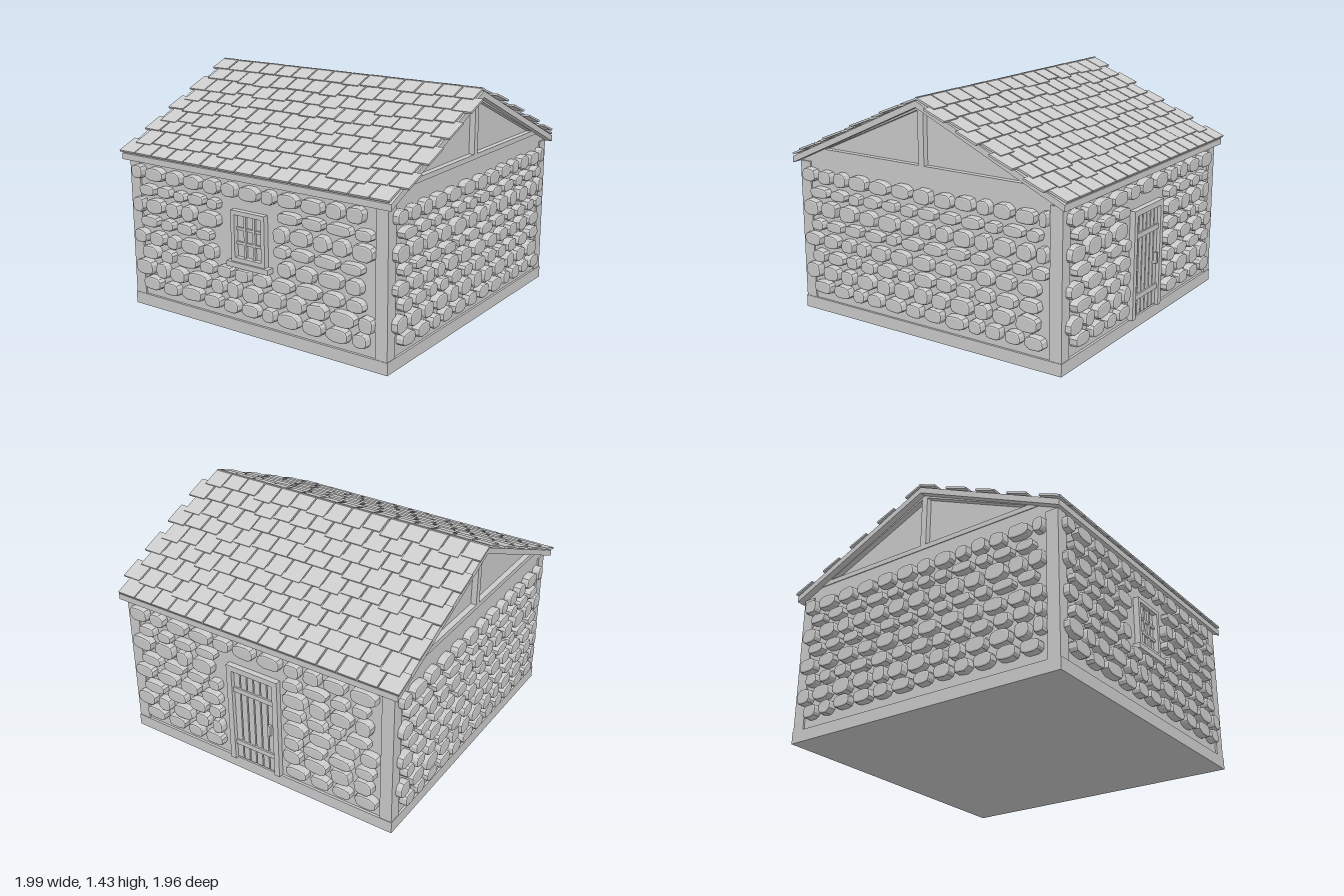
import * as THREE from 'three';
import { mergeGeometries } from 'three/addons/utils/BufferGeometryUtils.js';

const material = new THREE.MeshStandardMaterial({ color: 0xcccccc });
const WALL = 0.925; // half width of the square wall block
const BASE = 0.075; // plinth height
const PITCH = 0.454; // roof rise per unit of run

let seed = 7;
function rand(min, max) {
  seed = (seed * 16807) % 2147483647;
  return min + (max - min) * (seed / 2147483647);
}

function add(parent, name, geometry) {
  const mesh = new THREE.Mesh(geometry, material);
  mesh.name = name;
  parent.add(mesh);
  return mesh;
}

// Box given by its limits on each axis
function box(parent, name, x0, x1, y0, y1, z0, z1) {
  const g = new THREE.BoxGeometry(x1 - x0, y1 - y0, z1 - z0);
  g.translate((x0 + x1) / 2, (y0 + y1) / 2, (z0 + z1) / 2);
  return add(parent, name, g);
}

const toShape = (pts) => new THREE.Shape(pts.map((p) => new THREE.Vector2(...p)));

// Extrude a (z, y) profile along x between x0 and x1
function alongX(shape, x0, x1) {
  const g = new THREE.ExtrudeGeometry(shape, { depth: x1 - x0, bevelEnabled: false });
  g.translate(0, 0, -x1);
  g.rotateY(-Math.PI / 2);
  return g;
}

// One rounded, slightly irregular facing stone
function stone(u, y, w, h) {
  const pts = [];
  const n = 12;
  for (let i = 0; i < n; i++) {
    const a = ((i + 0.5) / n) * Math.PI * 2;
    const c = Math.cos(a), s = Math.sin(a);
    const r = rand(0.92, 1.02);
    pts.push([Math.sign(c) * Math.abs(c) ** 0.72 * r * w / 2, Math.sign(s) * Math.abs(s) ** 0.72 * r * h / 2]);
  }
  const g = new THREE.ExtrudeGeometry(toShape(pts), {
    depth: 0.04, bevelThickness: 0.01, bevelSize: 0.01, bevelOffset: -0.01, bevelSegments: 2,
  });
  return g.translate(u, y, WALL - 0.002);
}

// Courses of stones on one wall, leaving a gap [g0, g1] in the courses from 1 to gapRows
function stoneFacing(parent, name, angle, maxWidth, gapRows = 0, g0 = 0, g1 = 0) {
  const heights = [0.09, 0.07, 0.1, 0.072, 0.09, 0.083, 0.1, 0.086];
  const stones = [];
  heights.forEach((h, row) => {
    const y = 0.867 - row * 0.1;
    const gap = row >= 1 && row <= gapRows;
    let u = row % 2 ? -0.84 : -0.9;
    while (u < 0.81) {
      if (gap && u > g0 - 0.06 && u < g1) u = g1 + rand(-0.02, 0.02);
      let end = Math.min(u + rand(0.09, maxWidth), 0.86);
      if (gap && u < g0) end = Math.min(end, g0);
      stones.push(stone((u + end) / 2, y + rand(-0.004, 0.004), end - u, h * rand(0.92, 1.03)));
      u = end + 0.022;
    }
  });
  add(parent, name, mergeGeometries(stones)).rotation.y = angle;
}

function buildWalls(house) {
  box(house, 'plinth', -0.9385, 0.9385, 0, BASE, -0.94, 0.94);
  add(house, 'walls', alongX(toShape([
    [-WALL, BASE], [WALL, BASE], [WALL, 0.955], [0.815, 1.005], [-0.815, 1.005], [-WALL, 0.955],
  ]), -WALL, WALL));
  for (const sx of [-1, 1]) for (const sz of [-1, 1]) {
    const x = sx * 0.896, z = sz * 0.898;
    box(house, 'cornerPost', x - 0.039, x + 0.039, BASE, 0.945, z - 0.039, z + 0.039);
  }
  stoneFacing(house, 'frontStones', 0, 0.17, 4, -0.21, 0.2);
  stoneFacing(house, 'backStones', Math.PI, 0.17, 7, -0.23, 0.23);
  stoneFacing(house, 'leftStones', Math.PI / 2, 0.145);
  stoneFacing(house, 'rightStones', -Math.PI / 2, 0.145);
}

function buildGables(house) {
  add(house, 'gablePanels', alongX(toShape([[-0.815, 1], [0.815, 1], [0, 1.37]]), -0.895, 0.895));
  // Tie beam, rafters and king post in one pierced frame
  const frame = toShape([[-0.815, 1.005], [0.815, 1.005], [0, 1.375]]);
  for (const s of [-1, 1]) {
    frame.holes.push(new THREE.Path([[0.735, 1.035], [0.02, 1.035], [0.02, 1.35]]
      .map(([z, y]) => new THREE.Vector2(s * z, y))));
  }
  add(house, 'leftGableFrame', alongX(frame, 0.885, 0.93));
  add(house, 'rightGableFrame', alongX(frame, -0.93, -0.885));
}

function buildRoof(house) {
  const top = 1.41, bottom = 1.372, run = 0.968;
  add(house, 'roofDeck', alongX(toShape([
    [-run, bottom - PITCH * run], [0, bottom], [run, bottom - PITCH * run],
    [run, top - PITCH * run], [0, top], [-run, top - PITCH * run],
  ]), -0.97, 0.97));

  // Nine staggered courses of shingles on each slope
  const slope = Math.atan(PITCH);
  for (const side of [1, -1]) {
    const shingles = [];
    for (let row = 0; row < 9; row++) for (let col = 0; col < 15; col++) {
      const x = -0.9185 + col * 0.13 + (row % 2 ? 0.05 : 0);
      const edge = (0.97 - row * 0.108) / Math.cos(slope);
      const low = edge + (row && rand(0, 1) < 0.5 ? rand(0.005, 0.025) : 0);
      const high = Math.max(edge - 0.14, -0.012);
      const g = new THREE.BoxGeometry(0.12 + rand(-0.003, 0.004), 0.012, low - high);
      g.rotateX(-0.05);
      g.translate(side * x, 0.011 + rand(0, 0.002), (low + high) / 2);
      g.rotateX(slope);
      g.translate(0, top, 0);
      if (side < 0) g.rotateY(Math.PI);
      shingles.push(g);
    }
    add(house, side > 0 ? 'frontShingles' : 'backShingles', mergeGeometries(shingles));
  }
}

// Rectangular surround with an open middle
function surround(parent, name, w, y0, y1, t, depth, openBottom) {
  const z0 = WALL - 0.01, z1 = WALL + depth;
  for (const s of [-1, 1]) {
    const x = s * (w / 2 - t / 2);
    box(parent, name + 'Side', x - t / 2, x + t / 2, y0, y1, z0, z1);
  }
  box(parent, name + 'Top', -w / 2 + t, w / 2 - t, y1 - t, y1, z0, z1);
  if (!openBottom) box(parent, name + 'Bottom', -w / 2 + t, w / 2 - t, y0, y0 + t, z0, z1);
}

function buildWindow(house) {
  const win = new THREE.Group();
  win.name = 'window';
  house.add(win);
  surround(win, 'windowFrame', 0.246, 0.447, 0.754, 0.026, 0.035);
  box(win, 'glass', -0.1, 0.1, 0.47, 0.73, WALL - 0.01, WALL + 0.004);
  for (const s of [-1, 1]) {
    const x = s * 0.033, y = 0.6 + s * 0.043;
    box(win, 'uprightBar', x - 0.008, x + 0.008, 0.47, 0.73, WALL, WALL + 0.018);
    box(win, 'crossBar', -0.1, 0.1, y - 0.008, y + 0.008, WALL, WALL + 0.016);
  }
  box(win, 'sill', -0.153, 0.153, 0.415, 0.447, WALL - 0.01, WALL + 0.047);
}

function buildDoor(house) {
  const door = new THREE.Group();
  door.name = 'door';
  door.rotation.y = Math.PI;
  house.add(door);
  surround(door, 'doorFrame', 0.36, BASE, 0.745, 0.036, 0.035, true);
  box(door, 'doorBacking', -0.15, 0.15, BASE, 0.715, WALL - 0.01, WALL + 0.003);
  for (let i = 0; i < 6; i++) {
    const x = -0.12 + i * 0.048;
    box(door, 'plank', x - 0.02, x + 0.02, BASE + 0.01, 0.7, WALL, WALL + 0.015);
  }
  for (const y of [0.2, 0.58]) box(door, 'batten', -0.14, 0.14, y - 0.016, y + 0.016, WALL, WALL + 0.025);
  box(door, 'handle', 0.105, 0.122, 0.35, 0.42, WALL, WALL + 0.035);
}

export function createModel() {
  const model = new THREE.Group();
  model.name = 'stoneCottage';
  const house = new THREE.Group();
  house.name = 'house';
  house.position.x = -0.0165;
  model.add(house);
  buildWalls(house);
  buildGables(house);
  buildRoof(house);
  buildWindow(house);
  buildDoor(house);
  return model;
}
